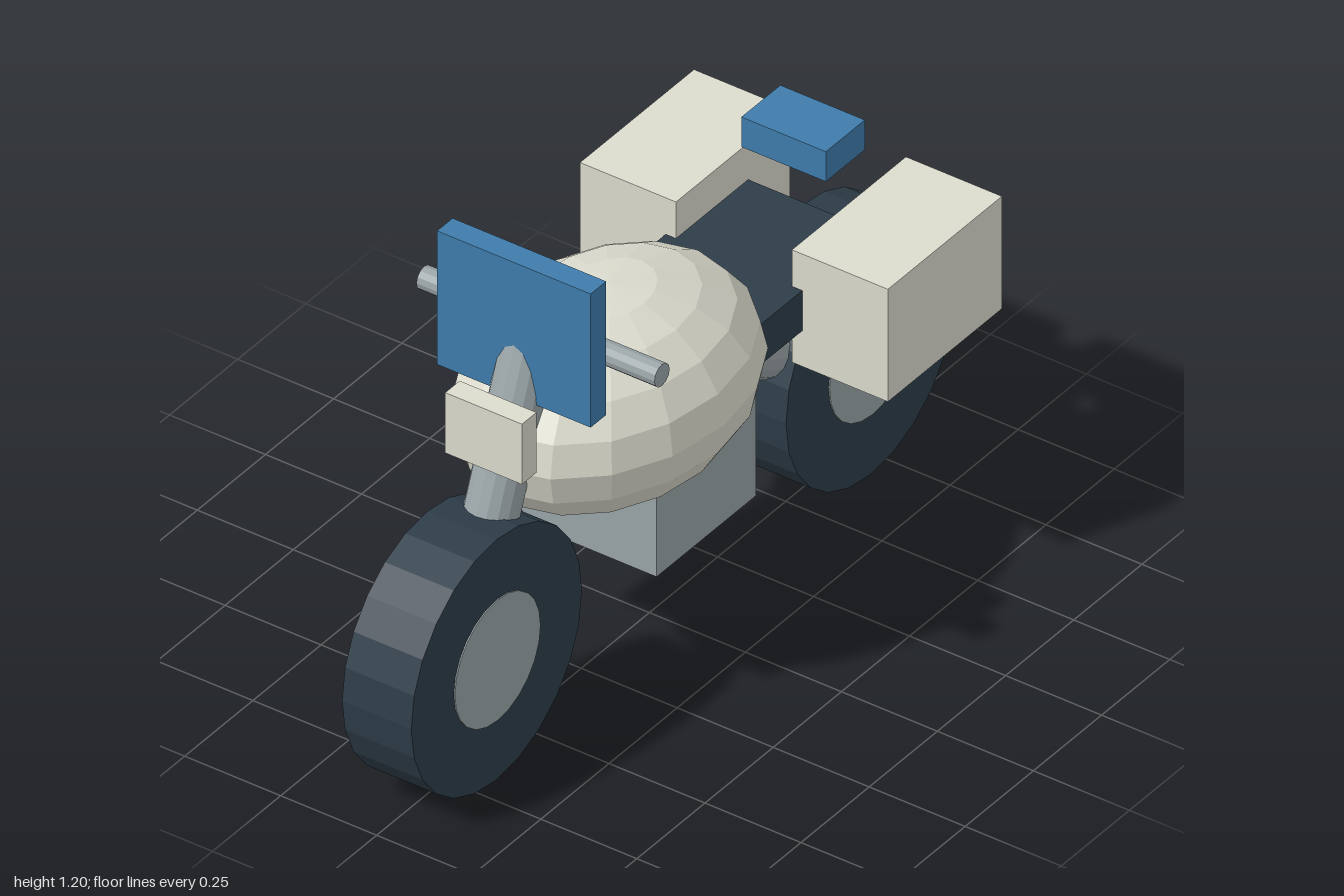
import * as THREE from 'three';

const paint = (name, color, flatShading = true) => {
  const m = new THREE.MeshStandardMaterial({ color, flatShading });
  m.name = name;
  return m;
};

export function createModel() {
  const cream = paint('cream', 0xdcdbce);
  const blue = paint('blue', 0x3f7cab);
  const dark = paint('dark slate', 0x2e3d49);
  const grey = paint('grey metal', 0x9aa4a7);
  const red = paint('red', 0xaa3833);

  const model = new THREE.Group();
  model.name = 'motorcycle';

  const add = (name, geometry, material, x, y, z, parent = model) => {
    const mesh = new THREE.Mesh(geometry, material);
    mesh.name = name;
    mesh.position.set(x, y, z);
    parent.add(mesh);
    return mesh;
  };
  // Box given by its extents on each axis
  const box = (name, material, [x0, x1], [y0, y1], [z0, z1], parent) =>
    add(name, new THREE.BoxGeometry(x1 - x0, y1 - y0, z1 - z0), material,
      (x0 + x1) / 2, (y0 + y1) / 2, (z0 + z1) / 2, parent);
  // Round bar between two points
  const bar = (name, material, radius, a, b, sides = 16) => {
    const from = new THREE.Vector3(...a), to = new THREE.Vector3(...b);
    const dir = to.clone().sub(from);
    const mid = from.clone().add(to).multiplyScalar(0.5);
    const mesh = add(name, new THREE.CylinderGeometry(radius, radius, dir.length(), sides),
      material, mid.x, mid.y, mid.z);
    mesh.quaternion.setFromUnitVectors(new THREE.Vector3(0, 1, 0), dir.normalize());
    return mesh;
  };

  // Wheels: dark tyre with a slightly wider hub
  for (const [name, z] of [['front', 0.687], ['rear', -0.687]]) {
    bar(name + 'Tyre', dark, 0.313, [-0.09, 0.315, z], [0.09, 0.315, z], 24);
    bar(name + 'Hub', grey, 0.157, [-0.093, 0.315, z], [0.093, 0.315, z], 24);
  }

  // Body, engine and seat
  const body = add('body', new THREE.SphereGeometry(1, 16, 10), cream, 0, 0.7, 0.15);
  body.scale.set(0.3, 0.245, 0.405);
  box('engine', grey, [-0.175, 0.175], [0.295, 0.65], [-0.145, 0.22]);
  box('seat', dark, [-0.178, 0.178], [0.63, 0.735], [-0.575, -0.06]);

  // Fork, swing arm and handlebar
  bar('fork', grey, 0.062, [0, 0.315, 0.687], [0, 0.97, 0.437]);
  bar('swingArm', grey, 0.071, [0, 0.315, -0.687], [0, 0.56, -0.21]);
  bar('handlebar', grey, 0.028, [-0.31, 0.975, 0.39], [0.31, 0.975, 0.39], 12);

  // Headlight, windscreen and rear lamp
  box('headlight', cream, [-0.1, 0.1], [0.73, 0.887], [0.555, 0.608]);
  box('windscreen', blue, [-0.2, 0.2], [0.855, 1.203], [0.44, 0.497]);
  box('rearLamp', blue, [-0.11, 0.11], [0.885, 0.963], [-0.635, -0.492]);

  // Panniers, each with a red cross on the back
  for (const [name, s] of [['left', 1], ['right', -1]]) {
    const group = new THREE.Group();
    group.name = name + 'Pannier';
    model.add(group);
    const c = s * 0.276;
    box('case', cream, [c - 0.125, c + 0.125], [0.537, 0.83], [-0.728, -0.31], group);
    box('crossArm', red, [c - 0.08, c + 0.08], [0.663, 0.704], [-0.735, -0.728], group);
    box('crossPost', red, [c - 0.021, c + 0.021], [0.605, 0.762], [-0.737, -0.728], group);
  }
  return model;
}
